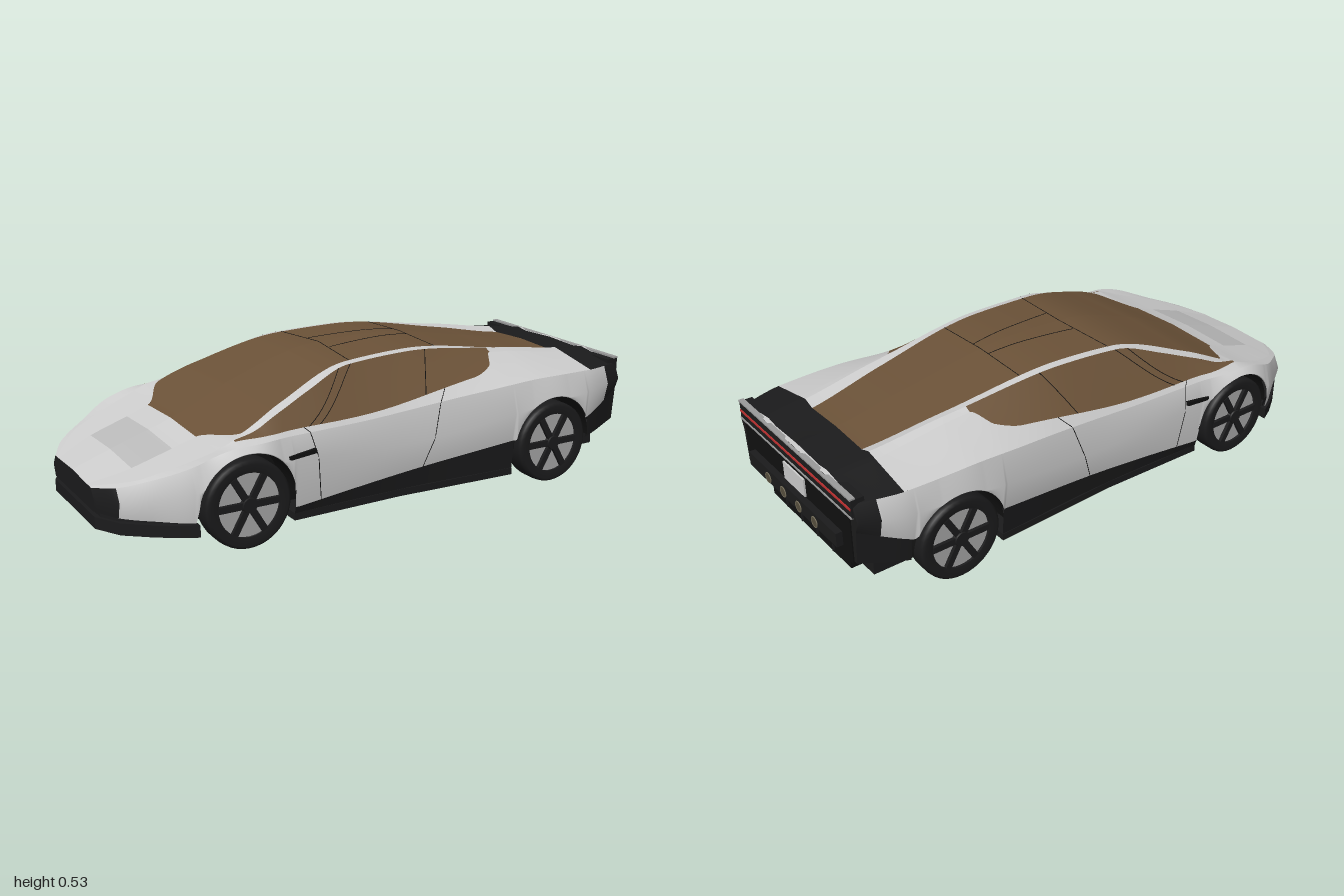
import * as THREE from 'three';

const SILVER = 0xcccccc, BLACK = 0x1b1b1c, DARK = 0x101010, GLASS = 0x6b5238, RED = 0xc03030;
const WHEELS = [-0.577, 0.635], AXLE_Y = 0.147, ARCH_R = 0.17;

// Guide curves along the car, as [x, value]
const halfWidth = curve([-1, .2], [-.95, .29], [-.87, .355], [-.72, .435], [-.55, .44], [-.4, .422], [0, .412], [.62, .435], [.8, .428], [.97, .385]);
const widestY = curve([-1, .17], [-.75, .22], [-.55, .27], [0, .24], [.62, .3], [.97, .33]);
const shoulderY = curve([-1, .205], [-.87, .25], [-.6, .335], [-.18, .34], [.35, .375], [.6, .39], [.97, .385]);
const centreY = curve([-1, .212], [-.87, .258], [-.655, .33], [-.42, .433], [-.125, .518], [.115, .527], [.54, .468], [.82, .42], [.97, .41]);
const glassZ = curve([-1, .14], [-.87, .19], [-.655, .205], [-.555, .345], [-.4, .31], [-.13, .243], [.3, .215], [.97, .14]);
const railZ = curve([-1, .165], [-.87, .305], [-.6, .37], [-.3, .31], [-.13, .268], [.2, .247], [.97, .19]);
const railDrop = curve([-.6, .005], [-.5, .027], [-.3, .025], [-.13, .014], [.2, .013], [.82, -.008], [.97, 0]);
// How far the window base has climbed from the shoulder to the roof rail
const beltRise = curve([-.6, .8], [-.45, .25], [-.15, .1], [.33, .32], [.42, .52], [.47, .88], [.97, .75]);

// Lines of the body section from skirt to roof centre, each giving [y, z] at x
const LINES = [
  (x) => [.065 + .22 * Math.max(0, x - .5), halfWidth(x) - .025], // skirt
  (x) => [.1 + Math.max(.05 * (-.39 - x), .095 * (x + .39)) + .35 * Math.max(0, x - .8), halfWidth(x) - .015], // sill
  (x) => [widestY(x), halfWidth(x)], // widest
  (x) => [shoulderY(x), halfWidth(x) - .025], // shoulder
  (x) => { // belt
    const [y0, z0] = LINES[3](x), [y1, z1] = LINES[5](x), f = beltRise(x);
    return [y0 + (y1 - y0) * f, z0 + (z1 - z0) * f];
  },
  (x) => [centreY(x) - railDrop(x), railZ(x)], // roof rail
  (x) => [centreY(x) - .04 * glassZ(x), glassZ(x)], // glass edge
  (x) => [centreY(x), 0], // centre
];

// Monotone cubic through a few points
function curve(...p) {
  const n = p.length - 1;
  const slope = (i) => (p[i + 1][1] - p[i][1]) / (p[i + 1][0] - p[i][0]);
  const tangent = (i) => {
    const a = slope(Math.max(0, i - 1)), b = slope(Math.min(n - 1, i));
    return a * b <= 0 ? 0 : (2 * a * b) / (a + b);
  };
  return (x) => {
    if (x <= p[0][0]) return p[0][1];
    if (x >= p[n][0]) return p[n][1];
    let i = 0;
    while (x > p[i + 1][0]) i++;
    const h = p[i + 1][0] - p[i][0], t = (x - p[i][0]) / h, u = 1 - t;
    return p[i][1] * (1 + 2 * t) * u * u + tangent(i) * h * t * u * u
      + p[i + 1][1] * t * t * (3 - 2 * t) - tangent(i + 1) * h * t * t * u;
  };
}

// A point on one body line, lifted clear of the wheel arches
function linePoint(i, x) {
  let [y, z] = LINES[i](x);
  for (const cx of WHEELS) {
    const d = Math.abs(x - cx);
    if (d >= ARCH_R || i > 3) continue;
    const arch = AXLE_Y + Math.sqrt(ARCH_R ** 2 - d * d);
    if (i < 2 && arch > y) z = halfWidth(x) - .005;
    y = Math.max(y, arch + Math.max(0, i - 1) * .004);
  }
  return new THREE.Vector3(x, y, z);
}

function surf(t, x) {
  const i = Math.min(Math.floor(t), LINES.length - 2);
  return linePoint(i, x).lerp(linePoint(i + 1, x), t - i);
}

export function createModel() {
  const car = new THREE.Group();
  car.name = 'sportsCar';
  const mats = {};
  const mat = (color) => (mats[color] ??= new THREE.MeshStandardMaterial({ color, side: THREE.DoubleSide }));
  const add = (name, geo, color, x = 0, y = 0, z = 0, parent = car) => {
    const m = new THREE.Mesh(geo, mat(color));
    m.name = name;
    m.position.set(x, y, z);
    parent.add(m);
    return m;
  };
  const box = (name, color, x0, x1, y0, y1, z0, z1) =>
    add(name, new THREE.BoxGeometry(x1 - x0, y1 - y0, z1 - z0), color, (x0 + x1) / 2, (y0 + y1) / 2, (z0 + z1) / 2);

  // Body skin between two lines, on both sides
  function panel(name, color, t0, t1, x0, x1) {
    const rows = Math.ceil((x1 - x0) / .006), cols = t1 - t0;
    for (const side of [1, -1]) {
      const pos = [], idx = [];
      for (let r = 0; r <= rows; r++) for (let c = 0; c <= cols; c++) {
        const p = surf(t0 + c, x0 + (x1 - x0) * r / rows);
        pos.push(p.x, p.y, p.z * side);
        if (r < rows && c < cols) {
          const a = r * (cols + 1) + c, b = a + cols + 1;
          if (side > 0) idx.push(a, b, a + 1, b, b + 1, a + 1);
          else idx.push(a, a + 1, b, b, a + 1, b + 1);
        }
      }
      const g = new THREE.BufferGeometry();
      g.setAttribute('position', new THREE.Float32BufferAttribute(pos, 3));
      g.setIndex(idx);
      g.computeVertexNormals();
      add(name, g, color);
    }
  }
  panel('headlight', BLACK, 1, 3, -1, -.95);
  panel('bodySide', SILVER, 1, 3, -.95, .9);
  panel('rearCorner', BLACK, 1, 3, .9, .97);
  panel('skirt', BLACK, 0, 1, -.406, .464);
  panel('rearSkirt', BLACK, 0, 1, .806, .97);
  panel('shoulder', SILVER, 3, 4, -1, .815);
  panel('frontFender', SILVER, 4, 5, -1, -.6);
  panel('sideWindow', GLASS, 4, 5, -.6, .47);
  panel('buttress', SILVER, 4, 5, .47, .815);
  panel('roofRail', SILVER, 5, 6, -1, .815);
  panel('hood', SILVER, 6, 7, -1, -.87);
  panel('hoodPanel', 0xbababa, 6, 7, -.87, -.735);
  panel('cowl', SILVER, 6, 7, -.735, -.655);
  panel('glassCanopy', GLASS, 6, 7, -.655, .815);
  panel('tailDeck', BLACK, 3, 7, .815, .955);
  panel('tailLip', SILVER, 3, 7, .955, .97);

  // Flat ends of the shell
  function endCap(name, x, t0) {
    const half = [];
    for (let t = t0; t <= 7; t++) half.push(surf(t, x));
    const pts = [...half, ...half.slice(0, -1).reverse().map((p) => new THREE.Vector3(p.x, p.y, -p.z))];
    const g = new THREE.ShapeGeometry(new THREE.Shape(pts.map((p) => new THREE.Vector2(p.z, p.y))));
    add(name, g.rotateY(Math.PI / 2), BLACK, x);
  }
  endCap('noseFace', -1, 1);
  endCap('tailFace', .97, 0);

  // Panel gaps drawn along the skin from (line, x) to (line, x)
  function seam(name, t0, x0, t1, x1) {
    for (const side of [1, -1]) {
      const pts = [];
      for (let i = 0; i <= 16; i++) {
        const p = surf(t0 + (t1 - t0) * i / 16, x0 + (x1 - x0) * i / 16);
        pts.push(p.setZ(p.z * side));
      }
      add(name, new THREE.TubeGeometry(new THREE.CatmullRomCurve3(pts), 32, .0015, 4), DARK);
    }
  }
  seam('doorFrontGap', 1, -.31, 4, -.36);
  seam('doorRearGap', 1, .09, 4, .2);
  seam('windowFrontPost', 4, -.34, 5, -.17);
  seam('windowMiddlePost', 4, -.3, 5, -.12);
  seam('windowRearPost', 4, .12, 5, .19);
  seam('roofFrontGap', 6, -.11, 7, -.09);
  seam('roofRearGap', 6, .25, 7, .25);
  seam('roofLengthGap', 6.68, -.09, 6.8, .25);

  // Underbody, floor and front lip
  function extrude(name, pts, depth, color) {
    const shape = new THREE.Shape(pts.map(([a, b]) => new THREE.Vector2(a, b)));
    return add(name, new THREE.ExtrudeGeometry(shape, { depth, bevelEnabled: false }), color);
  }
  const core = [[-.9, .09], [-.9, .16], [-.4, .3], [.94, .3], [.94, .16], [.5, .06], [-.4, .06]];
  extrude('underbody', core, .58, DARK).position.z = -.29;
  // Slab following the body's plan shape through the given stations
  function slab(name, stations, inset, y, height) {
    const half = stations.map((x) => [x, halfWidth(x) - inset]);
    const m = extrude(name, [...half, ...half.map(([x, z]) => [x, -z]).reverse()], height, BLACK);
    m.rotation.x = -Math.PI / 2;
    m.position.y = y;
  }
  slab('floor', [-.406, 0, .464], .022, .052, .025);
  slab('frontLip', [-1, -.95, -.87, -.8, -.745], .005, .075, .04);
  slab('frontLipBack', [-.985, -.95, -.87, -.8, -.75], .025, .11, .025);

  // Wheels, with arch liners, side vents and diffuser blades
  const tyre = [[.106, .04], [.135, .046], [.145, .038], [.147, .025]].map(([r, h]) => new THREE.Vector2(r, h));
  tyre.push(...tyre.map((p) => new THREE.Vector2(p.x, -p.y)).reverse());
  tyre.reverse();
  for (const side of [1, -1]) {
    for (const cx of WHEELS) {
      const liner = new THREE.CylinderGeometry(ARCH_R, ARCH_R, .12, 40, 1, true, Math.PI / 2, Math.PI);
      add('archLiner', liner.rotateX(Math.PI / 2), DARK, cx, AXLE_Y, side * .355);
      const wheel = new THREE.Group();
      wheel.name = 'wheel';
      wheel.position.set(cx, AXLE_Y, side * .384);
      if (side < 0) wheel.rotation.y = Math.PI;
      car.add(wheel);
      add('tyre', new THREE.LatheGeometry(tyre, 40).rotateX(Math.PI / 2), BLACK, 0, 0, 0, wheel);
      add('rimDisc', new THREE.CylinderGeometry(.108, .108, .05, 36).rotateX(Math.PI / 2), 0xa8a8a8, 0, 0, .005, wheel);
      add('hub', new THREE.CylinderGeometry(.024, .03, .02, 18).rotateX(Math.PI / 2), BLACK, 0, 0, .037, wheel);
      for (let i = 0; i < 6; i++) {
        const spoke = new THREE.BoxGeometry(.022, .1, .014).translate(0, .056, .035);
        add('spoke', spoke.rotateZ((i + .5) * Math.PI / 3), BLACK, 0, 0, 0, wheel);
      }
    }
    add('sideVent', new THREE.BoxGeometry(.1, .014, .02), DARK, -.385, .278, side * .414).rotation.z = .1;
    box('sideBlade', BLACK, .72, .9, .075, .16, side * .29 - .04, side * .29 + .04);
  }

  // Tail: light bar, plate, bumper and exhausts
  box('lightBar', BLACK, .93, .976, .34, .402, -.365, .365);
  box('tailLight', RED, .97, .979, .366, .374, -.362, .362);
  for (const y of [.337, .402]) box('lightBarTrim', 0x9a9a9a, .96, .979, y, y + .006, -.365, .365);
  box('rearPanel', DARK, .9, .974, .16, .335, -.345, .345);
  box('licencePlate', SILVER, .97, .98, .255, .32, -.068, .068);
  box('rearBumper', BLACK, .93, .997, .2, .25, -.29, .29);
  box('diffuser', DARK, .74, .94, .075, .165, -.26, .26);
  for (let i = 0; i < 4; i++) {
    const z = -.155 + i * .1033;
    add('exhaust', new THREE.CylinderGeometry(.018, .018, .02, 20).rotateZ(Math.PI / 2), 0x57503f, .989, .218, z);
    add('exhaustRing', new THREE.TorusGeometry(.018, .002, 6, 24).rotateY(Math.PI / 2), 0x77705c, .998, .218, z);
    box('diffuserFin', BLACK, .8, .945, .08, .14, z - .004, z + .004);
  }
  return car;
}
